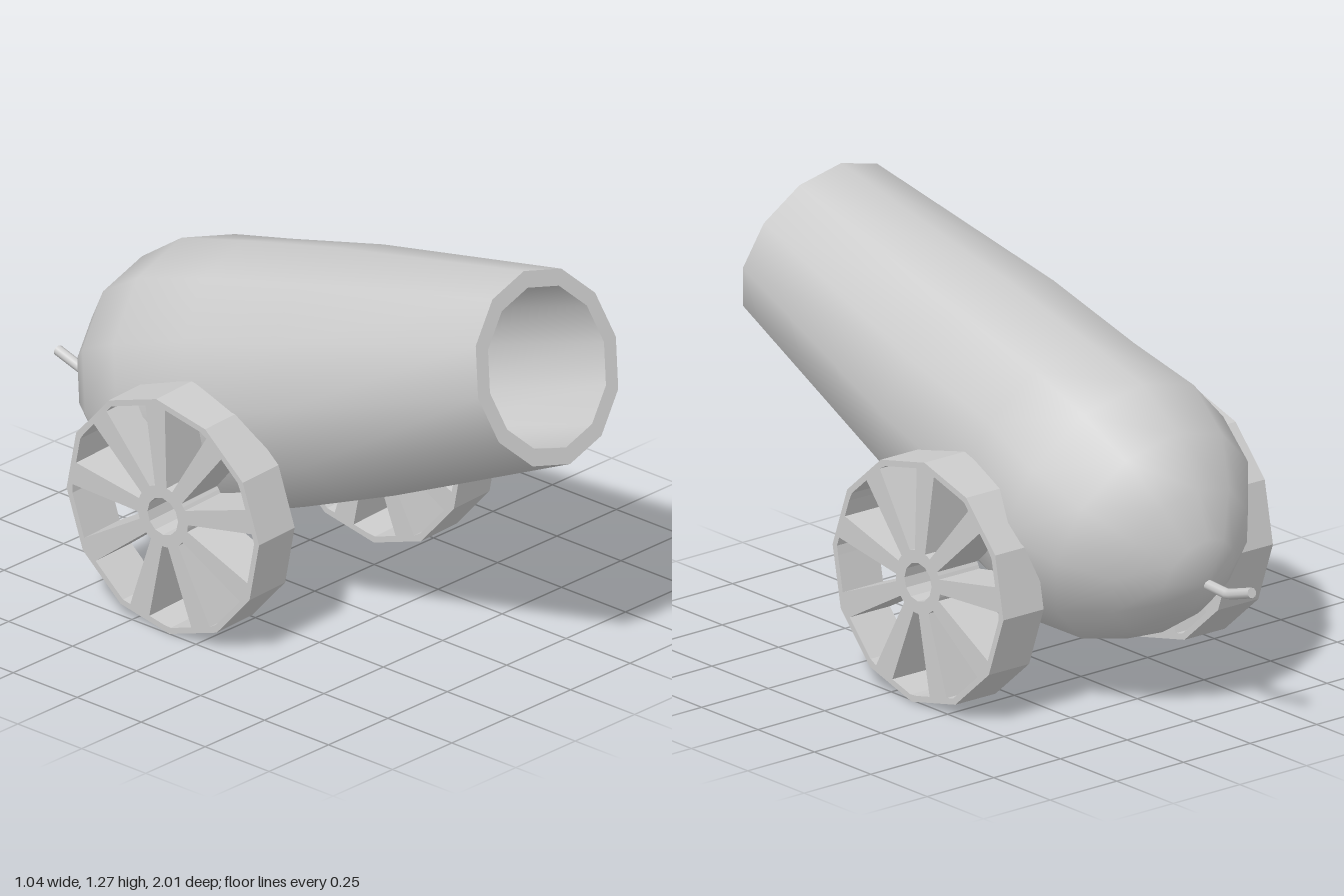
import * as THREE from 'three';
import { toCreasedNormals } from 'three/addons/utils/BufferGeometryUtils.js';

const rad = THREE.MathUtils.degToRad;
const material = new THREE.MeshStandardMaterial({ color: 0xcccccc });

function addMesh(parent, name, geometry) {
  const mesh = new THREE.Mesh(geometry, material);
  mesh.name = name;
  parent.add(mesh);
  return mesh;
}

// Barrel: 12-sided lathe from the breech tip over the muzzle rim and down the bore
function barrelGeometry() {
  const profile = [
    [0, -1.812], [0.13, -1.765], [0.25, -1.68], [0.36, -1.548], [0.413, -1.367],
    [0.4, -1.12], [0.373, -0.75], [0.29, 0], [0.24, 0], [0.24, -0.71], [0, -0.71],
  ].map(([r, y]) => new THREE.Vector2(r, y));
  const geometry = new THREE.LatheGeometry(profile, 12);
  // Slightly pinched sides between the wheels
  const p = geometry.attributes.position;
  for (let i = 0; i < p.count; i++) {
    if (Math.abs(p.getY(i) + 1.12) < 0.01) p.setX(i, p.getX(i) * 0.93);
  }
  return toCreasedNormals(geometry, 0.8);
}

// Wheel: 12-sided disc with tapered spokes left between cut-out windows
function wheelGeometry() {
  const R = 0.367, sides = 12, spokes = 9, width = 0.155;
  const phase = rad(-3), step = (Math.PI * 2) / sides;
  const polar = (r, a) => new THREE.Vector2(r * Math.cos(a), r * Math.sin(a));
  const inset = (a) => { // distance to the inner face of the rim
    const k = (((a - phase) % step) + step) % step;
    return (R * Math.cos(step / 2) - 0.018) / Math.cos(k - step / 2);
  };

  const shape = new THREE.Shape(
    Array.from({ length: sides }, (_, i) => polar(R, phase + i * step)));
  const hubHole = Array.from({ length: 12 }, (_, i) => polar(0.058, -i * step));
  shape.holes.push(new THREE.Path(hubHole));

  const gap = (Math.PI * 2) / spokes;
  for (let i = 0; i < spokes; i++) {
    const a = rad(86) + i * gap, points = [];
    const inner = 0.022 / 0.095, outer = 0.037 / 0.34;
    for (let j = 0; j <= 2; j++) points.push(polar(0.095, a + inner + (gap - 2 * inner) * j / 2));
    for (let j = 6; j >= 0; j--) {
      const b = a + outer + (gap - 2 * outer) * j / 6;
      points.push(polar(inset(b), b));
    }
    shape.holes.push(new THREE.Path(points));
  }
  const geometry = new THREE.ExtrudeGeometry(shape, { depth: width, bevelEnabled: false });
  geometry.translate(0, 0, -width / 2);
  geometry.rotateY(Math.PI / 2);
  return geometry;
}

export function createModel() {
  const model = new THREE.Group();
  model.name = 'cannon';

  const barrel = addMesh(model, 'barrel', barrelGeometry());
  barrel.rotation.x = rad(90 - 18.2);
  barrel.position.set(-0.008, 0.993, 0.915);

  // Both wheels lean and toe the same way by a hair
  const wheel = wheelGeometry();
  for (const [name, side] of [['leftWheel', 1], ['rightWheel', -1]]) {
    const mesh = addMesh(model, name, wheel);
    mesh.position.set(side * 0.43, 0.37, -0.125);
    mesh.rotation.set(0, 0.03, 0.02);
  }

  // Fuse: short bent cord with a closed end
  const path = new THREE.CurvePath();
  const bends = [[0.43, -0.77], [0.423, -0.89], [0.456, -0.996]]
    .map(([y, z]) => new THREE.Vector3(-0.01, y, z));
  path.add(new THREE.LineCurve3(bends[0], bends[1]));
  path.add(new THREE.LineCurve3(bends[1], bends[2]));
  addMesh(model, 'fuse', new THREE.TubeGeometry(path, 12, 0.016, 8));
  const cap = addMesh(model, 'fuseEnd', new THREE.CircleGeometry(0.016, 8));
  cap.position.copy(bends[2]);
  cap.lookAt(bends[2].clone().multiplyScalar(2).sub(bends[1]));

  return model;
}
